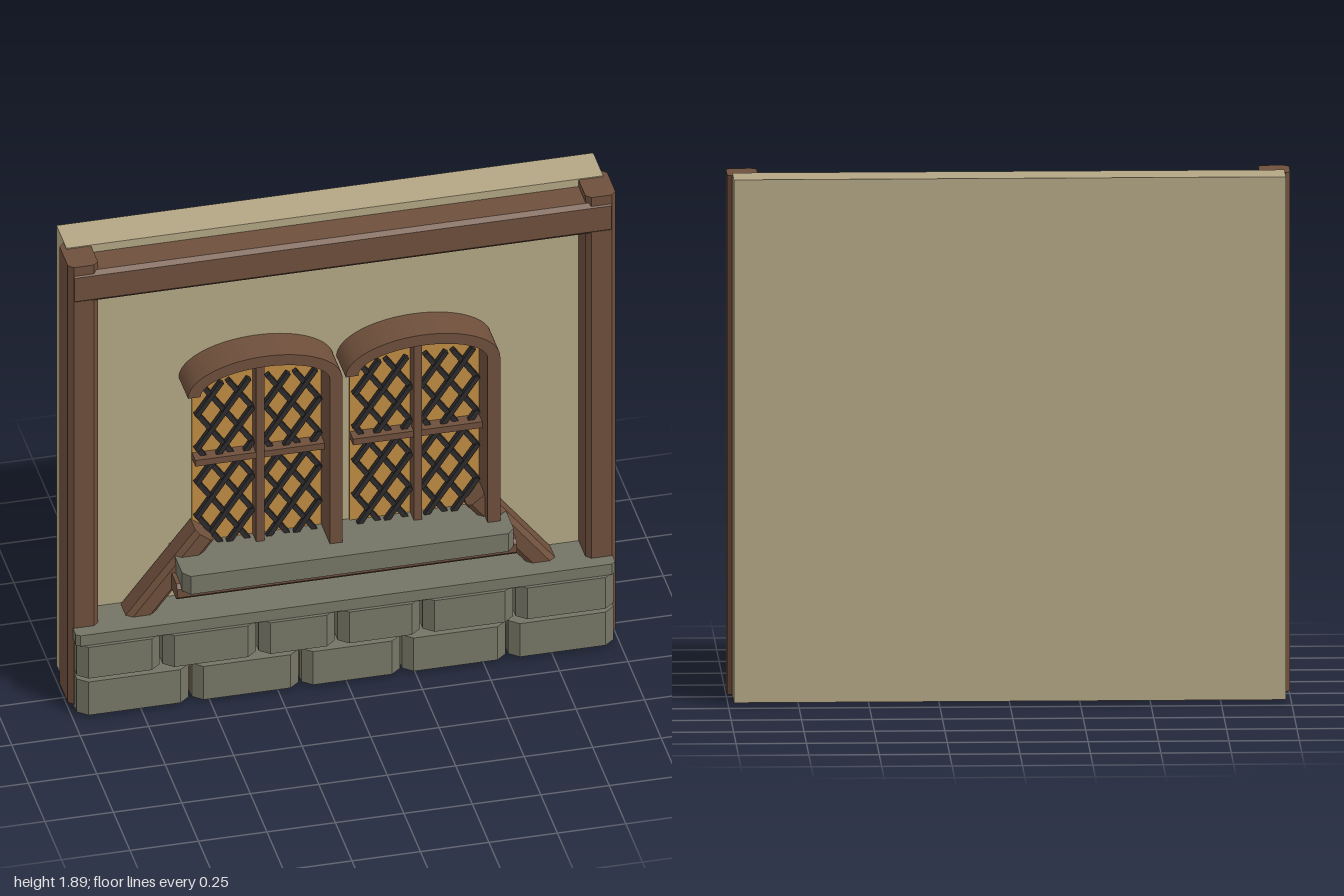
import * as THREE from 'three';

const mat = (name, color) => {
  const m = new THREE.MeshStandardMaterial({ color });
  m.name = name;
  return m;
};

export function createModel() {
  const plaster = mat('plaster', 0xb3a684);
  const wood = mat('wood', 0x6e4f3b);
  const stone = mat('stone', 0x757566);
  const amber = mat('amber glass', 0xc08c42);
  const iron = mat('dark iron', 0x2c2a2a);

  const root = new THREE.Group();
  root.name = 'timberWallWithWindows';

  const add = (parent, name, geometry, material) => {
    const mesh = new THREE.Mesh(geometry, material);
    mesh.name = name;
    parent.add(mesh);
    return mesh;
  };

  // Plain box given by its limits
  const box = (parent, name, material, [x0, x1], [y0, y1], [z0, z1]) => {
    const mesh = add(parent, name, new THREE.BoxGeometry(x1 - x0, y1 - y0, z1 - z0), material);
    mesh.position.set((x0 + x1) / 2, (y0 + y1) / 2, (z0 + z1) / 2);
    return mesh;
  };

  // Timber along local z with all four long edges chamfered
  const timberGeometry = (w, h, length, c) => {
    const a = w / 2, b = h / 2;
    const pts = [[a - c, -b], [a, c - b], [a, b - c], [a - c, b], [c - a, b], [-a, b - c], [-a, c - b], [c - a, -b]];
    const shape = new THREE.Shape(pts.map(([x, y]) => new THREE.Vector2(x, y)));
    return new THREE.ExtrudeGeometry(shape, { depth: length, bevelEnabled: false }).translate(0, 0, -length / 2);
  };

  // Stone whose two front vertical edges are chamfered
  const block = (name, [x0, x1], [y0, y1], [z0, z1], cx, cz) => {
    const pts = [[x0, -z0], [x0, cz - z1], [x0 + cx, -z1], [x1 - cx, -z1], [x1, cz - z1], [x1, -z0]];
    const shape = new THREE.Shape(pts.map(([x, y]) => new THREE.Vector2(x, y)));
    const g = new THREE.ExtrudeGeometry(shape, { depth: y1 - y0, bevelEnabled: false });
    return add(root, name, g.rotateX(-Math.PI / 2).translate(0, y0, 0), stone);
  };

  // Wall panel
  box(root, 'plasterWall', plaster, [-0.98, 0.98], [0.01, 1.892], [-0.19, -0.04]);

  // Corner posts and diagonal braces
  for (const s of [-1, 1]) {
    const post = add(root, 'post', timberGeometry(0.11, 0.16, 1.868, 0.018).rotateX(Math.PI / 2), wood);
    post.position.set(s * 0.945, 0.954, 0);

    const low = new THREE.Vector3(s * 0.843, 0.2, 0.005);
    const high = new THREE.Vector3(s * 0.496, 0.644, 0.005);
    const brace = add(root, 'brace', timberGeometry(0.085, 0.11, low.distanceTo(high), 0.018)
      .rotateX(-Math.PI / 2), wood);
    brace.position.copy(low).add(high).multiplyScalar(0.5);
    brace.rotation.z = Math.atan2(low.x - high.x, high.y - low.y);
  }

  // Horizontal beams
  const rail = (name, halfLength, [y0, y1], [z0, z1], c) => {
    const g = timberGeometry(z1 - z0, y1 - y0, halfLength * 2, c).rotateY(Math.PI / 2);
    add(root, name, g, wood).position.set(0, (y0 + y1) / 2, (z0 + z1) / 2);
  };
  rail('topBeam', 0.98, [1.73, 1.86], [-0.075, 0.085], 0.015);
  rail('bottomBeam', 0.98, [0, 0.135], [-0.075, 0.085], 0.015);
  rail('sillBoard', 0.62, [0.445, 0.51], [-0.05, 0.145], 0.015);

  // Stone base: two rows of blocks and a capping course
  const lower = [[-0.98, -0.572], [-0.56, -0.17], [-0.16, 0.2], [0.207, 0.585], [0.595, 0.98]];
  const upper = [[-0.98, -0.677], [-0.667, -0.326], [-0.316, -0.038], [-0.028, 0.273], [0.283, 0.612], [0.622, 0.98]];
  for (const span of lower) block('lowerStone', span, [0.01, 0.152], [0.05, 0.145], 0.036, 0.03);
  for (const span of upper) block('upperStone', span, [0.167, 0.3], [0.05, 0.145], 0.036, 0.03);
  block('stoneCap', [-0.985, 0.985], [0.3, 0.345], [-0.05, 0.132], 0.015, 0.012);
  block('windowSill', [-0.605, 0.605], [0.495, 0.572], [-0.05, 0.185], 0.025, 0.03);

  // Arched windows
  const spring = 1.275, bottom = 0.52, inner = 0.236, outer = 0.282;
  for (const s of [-1, 1]) {
    const win = new THREE.Group();
    win.name = 'window';
    win.position.x = s * 0.288;
    root.add(win);

    // Glass
    const pane = new THREE.Shape();
    pane.moveTo(-inner, bottom);
    pane.lineTo(inner, bottom);
    pane.lineTo(inner, spring);
    pane.absellipse(0, spring, inner, 0.092, 0, Math.PI, false, 0);
    add(win, 'glass', new THREE.ExtrudeGeometry(pane, { depth: 0.009, bevelEnabled: false, curveSegments: 20 })
      .translate(0, 0, -0.04), amber);

    // Arch with a single jamb running down on one side
    const frame = new THREE.Shape();
    frame.moveTo(inner, bottom);
    frame.lineTo(outer, bottom);
    frame.lineTo(outer, spring);
    frame.absellipse(0, spring, outer, 0.137, 0, Math.PI, false, 0);
    frame.lineTo(-inner, spring);
    frame.absellipse(0, spring, inner, 0.092, Math.PI, 0, true, 0);
    add(win, 'frame', new THREE.ExtrudeGeometry(frame, { depth: 0.145, bevelEnabled: false, curveSegments: 20 })
      .translate(0, 0, -0.045), wood);

    // Glazing bars
    box(win, 'mullion', wood, [-0.015, 0.015], [bottom, 1.345], [-0.035, 0.025]);
    box(win, 'crossbar', wood, [-inner, inner], [0.925, 0.951], [-0.035, 0.02]);

    // Diamond lattice, clipped to the panel on each side of the mullion
    const slope = 1.45, y0 = 1.2, half = 0.1, yMin = 0.56, yMax = 1.25;
    for (const cx of [-0.122, 0.122]) for (const dir of [-1, 1]) for (let k = -1; k < 8; k++) {
      const c = 0.05 + 0.1 * (k - 1);
      const xa = Math.max(-half, (yMin - y0) / slope + c);
      const xb = Math.min(half, (yMax - y0) / slope + c);
      if (xb - xa < 0.015) continue;
      const length = (xb - xa) * Math.hypot(1, slope);
      const xm = (xa + xb) / 2;
      const bar = add(win, 'lattice', new THREE.BoxGeometry(length + 0.012, 0.018, 0.02), iron);
      bar.position.set(cx + dir * xm, y0 + slope * (xm - c), dir * 0.003 - 0.012);
      bar.rotation.z = dir * Math.atan(slope);
    }
  }

  return root;
}
